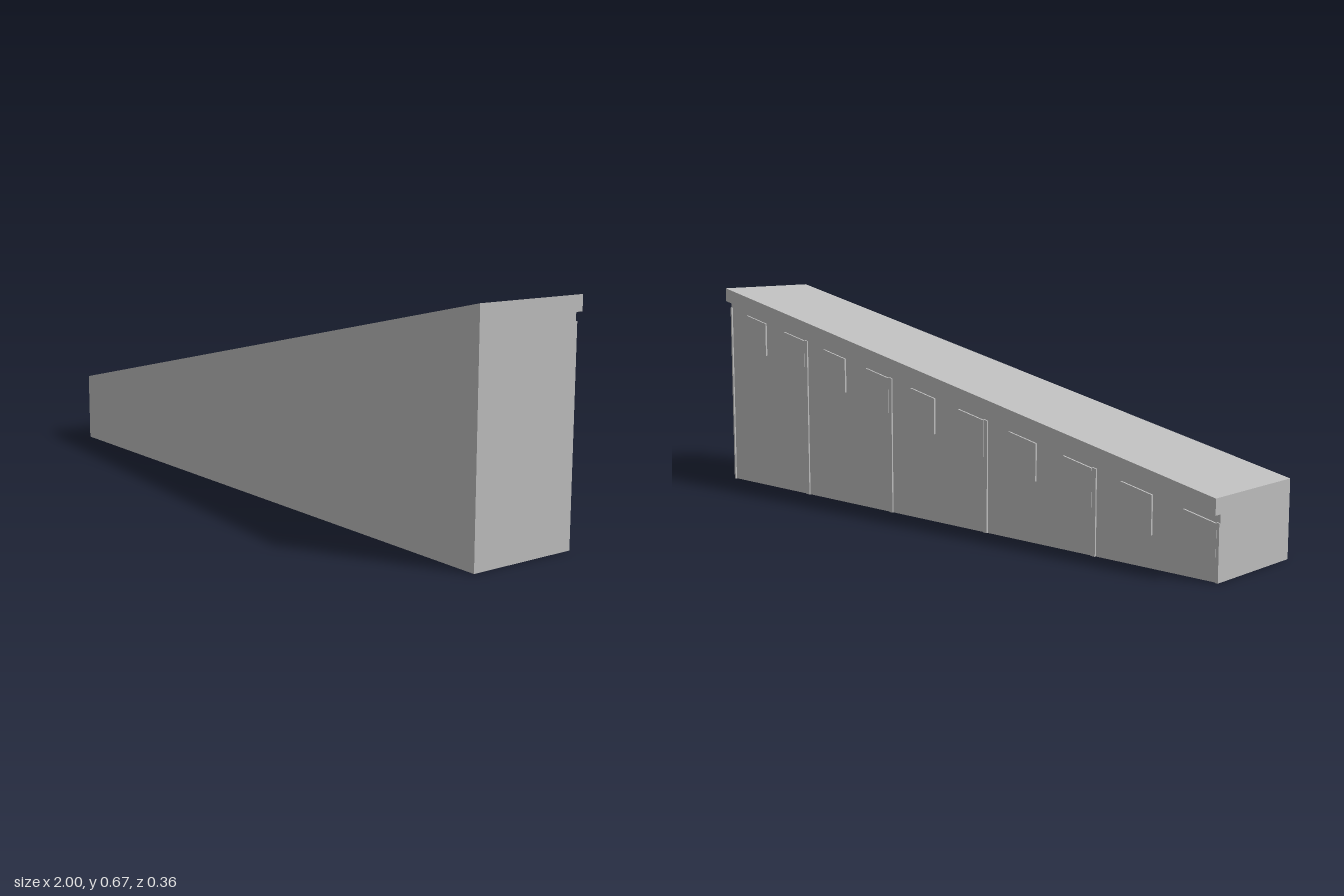
import * as THREE from 'three';

const roofY = (x) => 0.4445 + 0.2225 * x; // sloping top line

export function createModel() {
  const group = new THREE.Group();
  group.name = 'slopedWall';
  const concrete = new THREE.MeshStandardMaterial({ color: 0xbcbcbc });
  concrete.name = 'concreteGrey';

  // Slab between x0 and x1 whose top (and optionally bottom) follows the slope
  function slab(name, x0, x1, dropTop, dropBottom, zBack, zFront) {
    const low = (x) => (dropBottom === null ? 0 : roofY(x) - dropBottom);
    const shape = new THREE.Shape([
      new THREE.Vector2(x0, low(x0)),
      new THREE.Vector2(x1, low(x1)),
      new THREE.Vector2(x1, roofY(x1) - dropTop),
      new THREE.Vector2(x0, roofY(x0) - dropTop),
    ]);
    const geometry = new THREE.ExtrudeGeometry(shape, { depth: zFront - zBack, bevelEnabled: false });
    geometry.translate(0, 0, zBack);
    const mesh = new THREE.Mesh(geometry, concrete);
    mesh.name = name;
    group.add(mesh);
  }

  // Main wedge and the coping lip along the back
  slab('wallBody', -1, 1, 0, null, -0.155, 0.178);
  slab('copingLip', -1, 1, 0, 0.044, -0.178, -0.155);

  // Thin upright ribs at the panel joints
  for (let i = 0; i <= 5; i++) {
    const x = 1 - 0.4 * i;
    slab('jointRib', Math.max(-1, x - 0.006), Math.min(1, x + 0.008), 0.067, null, -0.16, -0.155);
  }

  // Raised blocks below the lip
  for (let i = 0; i < 10; i++) {
    const x = 0.91 - 0.2 * i;
    slab('raisedBlock', x - 0.102, x, 0.07, 0.178, -0.161, -0.155);
  }
  return group;
}
